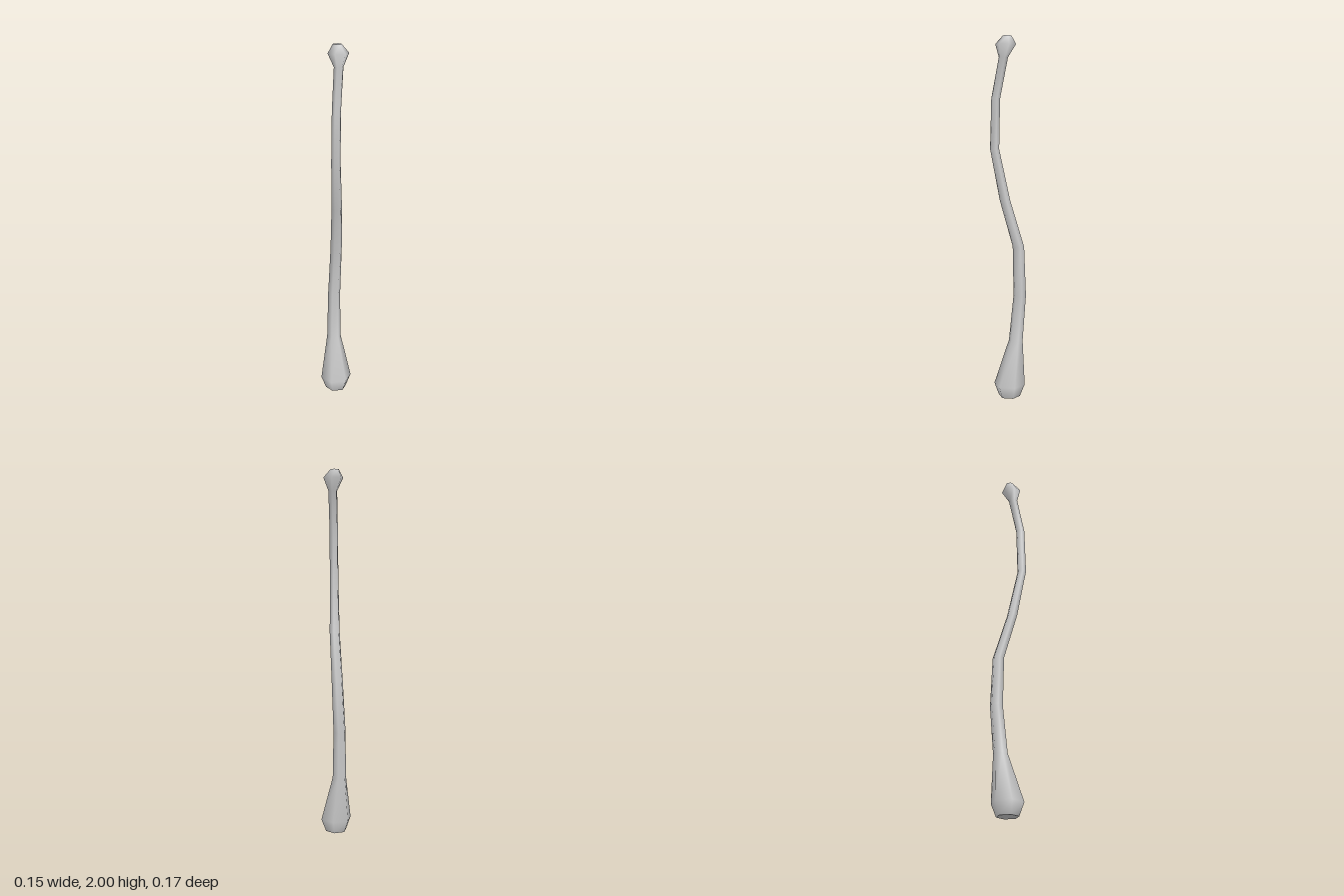
import * as THREE from 'three';

const SIDES = 6;

// Cross-sections up the staff: [y, centre x, centre z, radius]
const RINGS = [
  [0, -0.002, 0, 0.06],
  [0.07, -0.001, 0, 0.087],
  [0.32, 0.014, -0.037, 0.039],
  [0.58, 0.03, -0.052, 0.035],
  [0.86, 0.032, -0.037, 0.032],
  [1.12, -0.015, 0.022, 0.029],
  [1.4, -0.055, 0.061, 0.025],
  [1.67, -0.049, 0.058, 0.024],
  [1.887, -0.014, 0.035, 0.025],
  [1.955, -0.007, 0.025, 0.056],
  [2, -0.006, 0.014, 0.023],
];

// Hexagon corner, with points towards +z and -z
function corner([y, cx, cz, r], i) {
  const a = (i / SIDES) * Math.PI * 2;
  return [cx + Math.sin(a) * r, y, cz + Math.cos(a) * r];
}

// Smooth skin joining the rings
function skinGeometry() {
  const pos = [], index = [];
  RINGS.forEach((ring, k) => {
    for (let i = 0; i < SIDES; i++) {
      pos.push(...corner(ring, i));
      if (k === RINGS.length - 1) continue;
      const j = (i + 1) % SIDES;
      const a = k * SIDES + i, b = k * SIDES + j;
      index.push(a, b, b + SIDES, a, b + SIDES, a + SIDES);
    }
  });
  const geo = new THREE.BufferGeometry();
  geo.setAttribute('position', new THREE.Float32BufferAttribute(pos, 3));
  geo.setIndex(index);
  geo.computeVertexNormals();
  return geo;
}

// Flat hexagonal end
function capGeometry(ring, up) {
  const pos = [], index = [];
  for (let i = 0; i < SIDES; i++) pos.push(...corner(ring, i));
  for (let i = 1; i < SIDES - 1; i++) index.push(...(up ? [0, i, i + 1] : [0, i + 1, i]));
  const geo = new THREE.BufferGeometry();
  geo.setAttribute('position', new THREE.Float32BufferAttribute(pos, 3));
  geo.setIndex(index);
  geo.computeVertexNormals();
  return geo;
}

export function createModel() {
  const group = new THREE.Group();
  group.name = 'crookedStaff';
  const material = new THREE.MeshStandardMaterial({ color: 0xcccccc });
  const add = (name, geo) => {
    const mesh = new THREE.Mesh(geo, material);
    mesh.name = name;
    group.add(mesh);
  };
  add('shaft', skinGeometry());
  add('bottomCap', capGeometry(RINGS[0], false));
  add('topCap', capGeometry(RINGS[RINGS.length - 1], true));
  return group;
}
